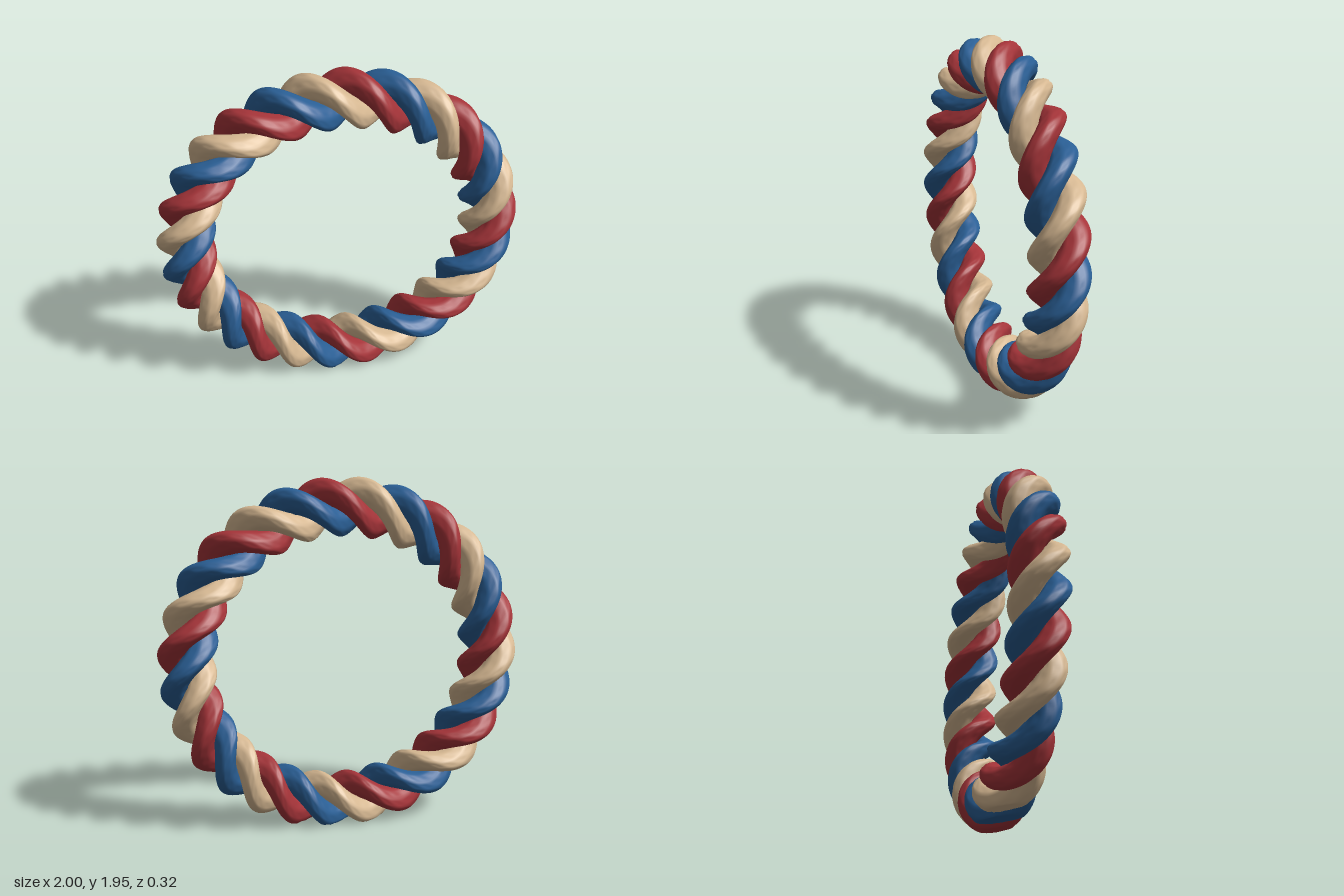
import * as THREE from 'three';

const RING = 0.842;      // radius of the rope's centre line
const LAY = 0.084;       // strand centre offset from that line
const STRAND = 0.075;    // strand radius
const CENTRE_Y = 0.953;
const TURNS = 9;         // twists of the rope around the ring
const SEGMENTS = 540, SIDES = 32;

// Closed twisted strand; 'start' is a ring angle where it lies outermost.
// Its round sections stand square to the ring, so the yarns run along the rope.
function strandGeometry(start) {
  const positions = [], index = [];
  for (let i = 0; i < SEGMENTS; i++) {
    const t = (i / SEGMENTS) * Math.PI * 2;
    const phi = -TURNS * (t - start);
    for (let j = 0; j < SIDES; j++) {
      const a = (j / SIDES) * Math.PI * 2;
      // grooves between yarns, their depth wandering along the length
      const depth = 0.003 + 0.002 * Math.sin(90 * t + j * 2.3);
      const r = STRAND + (j % 4 === 0 ? -depth : 0.0008);
      const radius = RING + LAY * Math.cos(phi) + r * Math.cos(a);
      const z = LAY * Math.sin(phi) + r * Math.sin(a);
      // the ring rests on a slightly flattened base
      const y = Math.max(0, CENTRE_Y + radius * Math.sin(t));
      positions.push(radius * Math.cos(t), y, z);
      const i2 = (i + 1) % SEGMENTS, j2 = (j + 1) % SIDES;
      const v00 = i * SIDES + j, v10 = i2 * SIDES + j;
      const v01 = i * SIDES + j2, v11 = i2 * SIDES + j2;
      index.push(v00, v10, v01, v10, v11, v01);
    }
  }
  const geometry = new THREE.BufferGeometry();
  geometry.setAttribute('position', new THREE.Float32BufferAttribute(positions, 3));
  geometry.setIndex(index);
  geometry.computeVertexNormals();
  return geometry;
}

export function createModel() {
  const group = new THREE.Group();
  group.name = 'ropeRing';
  const colours = [['red', 0xa53439], ['tan', 0xd6b892], ['blue', 0x2a5f95]];

  // Three strands, a third of a twist apart
  colours.forEach(([name, color], k) => {
    const material = new THREE.MeshStandardMaterial({ color });
    material.name = name;
    const start = THREE.MathUtils.degToRad(4.5 + (k * 360) / (TURNS * 3));
    const strand = new THREE.Mesh(strandGeometry(start), material);
    strand.name = name + 'Strand';
    group.add(strand);
  });
  return group;
}
